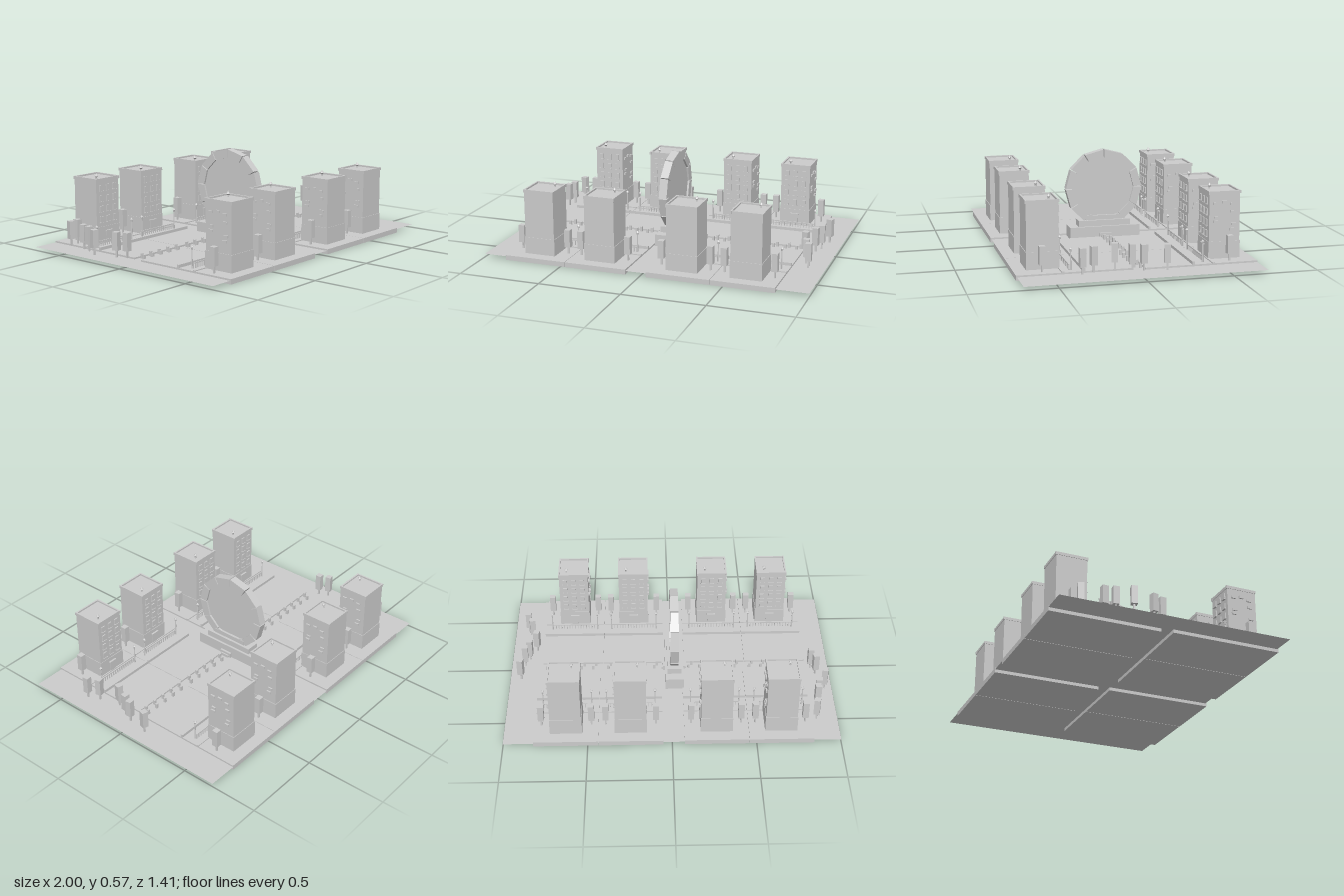
import * as THREE from 'three';

const mat = new THREE.MeshStandardMaterial({ color: 0xcccccc, flatShading: true, side: THREE.DoubleSide });

function add(parent, name, geo, x, y, z) {
  const m = new THREE.Mesh(geo, mat);
  m.name = name;
  m.position.set(x, y, z);
  parent.add(m);
  return m;
}
// box given by its centre in x/z and its bottom and top heights
function box(parent, name, x, z, w, d, y0, y1) {
  return add(parent, name, new THREE.BoxGeometry(w, y1 - y0, d), x, (y0 + y1) / 2, z);
}
function group(parent, name, x = 0, y = 0, z = 0, ry = 0) {
  const g = new THREE.Group();
  g.name = name;
  g.position.set(x, y, z);
  g.rotation.y = ry;
  parent.add(g);
  return g;
}

function tree(parent, x, y, z, ry = 0) {
  const t = group(parent, 'tree', x, y, z, ry);
  box(t, 'trunk', 0, 0, 0.01, 0.01, 0, 0.045);
  box(t, 'crown', 0, 0, 0.036, 0.036, 0.042, 0.15);
}

function lamp(parent, x, z) {
  const l = group(parent, 'lampPost', x, 0, z);
  add(l, 'pole', new THREE.CylinderGeometry(0.003, 0.005, 0.11, 6), 0, 0.085, 0);
  add(l, 'lantern', new THREE.CylinderGeometry(0.008, 0.005, 0.016, 6), 0, 0.146, 0);
  add(l, 'cap', new THREE.ConeGeometry(0.01, 0.012, 6), 0, 0.158, 0);
}

// tower block with windows on +z and box units on +x
function building(parent, z) {
  const b = group(parent, 'building', 0, 0, z);
  const h = 0.095;
  box(b, 'base', 0, 0, 0.192, 0.192, 0.03, 0.132);
  box(b, 'tower', 0, 0, 0.186, 0.186, 0.13, 0.418);
  for (const s of [-1, 1]) {
    box(b, 'parapet', s * (h - 0.004), 0, 0.01, 0.196, 0.41, 0.428);
    box(b, 'parapet', 0, s * (h - 0.004), 0.186, 0.01, 0.41, 0.428);
  }
  // windows with sills
  for (let row = 0; row < 4; row++) {
    for (const x of [-0.055, 0, 0.055]) {
      const y = 0.16 + row * 0.064;
      box(b, 'window', x, 0.095, 0.026, 0.01, y, y + 0.036);
      box(b, 'windowSill', x, 0.097, 0.032, 0.014, y - 0.004, y);
    }
  }
  box(b, 'door', 0, 0.097, 0.04, 0.006, 0.03, 0.1);
  box(b, 'doorCanopy', 0, 0.1, 0.055, 0.016, 0.1, 0.107);
  // wall units on the side
  for (const [zz, y] of [[0.055, 0.355], [0.05, 0.275], [0.055, 0.25], [0.004, 0.363],
    [-0.045, 0.35], [-0.05, 0.305], [-0.055, 0.23], [-0.045, 0.2]])
    box(b, 'wallUnit', 0.096, zz, 0.012, 0.028, y - 0.006, y + 0.008);
  // roof vents
  add(b, 'ventPipe', new THREE.CylinderGeometry(0.005, 0.005, 0.025, 8), -0.045, 0.428, 0.047);
  add(b, 'ventCap', new THREE.ConeGeometry(0.012, 0.018, 8), -0.045, 0.445, 0.047);
  add(b, 'ventCollar', new THREE.CylinderGeometry(0.012, 0.006, 0.007, 8), -0.045, 0.433, 0.047);
}

// one city plot, building at the back (-z)
function plot(parent, x, z, ry) {
  const p = group(parent, 'plot', x, 0, z, ry);
  box(p, 'slab', 0, 0, 0.382, 0.67, 0, 0.03);
  box(p, 'kerb', 0, -0.07, 0.382, 0.016, 0.03, 0.036);
  box(p, 'lowWall', 0, 0.05, 0.382, 0.014, 0.03, 0.048);
  building(p, -0.165);
  for (const s of [-1, 1]) {
    tree(p, s * 0.15, 0.03, -0.18);
    lamp(p, s * 0.147, -0.017);
  }
  // fence
  const f = group(p, 'fence', 0, 0, -0.025);
  box(f, 'rail', 0, 0, 0.29, 0.006, 0.057, 0.063);
  for (let i = 0; i <= 16; i++) box(f, 'picket', -0.144 + i * 0.018, 0, 0.005, 0.005, 0.03, 0.058);
  // bollards along the street edge
  for (let i = 0; i < 5; i++) box(p, 'bollard', -0.145 + i * 0.073, 0.352, 0.015, 0.014, 0.02, 0.05);
}

// trapezoid ring segment extruded along x
function ringSegment(a, half, r0, r1, width) {
  const pt = (r, t) => new THREE.Vector2(r * Math.sin(t), r * Math.cos(t));
  const shape = new THREE.Shape([pt(r1, a - half), pt(r1, a + half), pt(r0, a + half), pt(r0, a - half)]);
  const g = new THREE.ExtrudeGeometry(shape, { depth: width, bevelEnabled: false });
  g.translate(0, 0, -width / 2);
  g.rotateY(Math.PI / 2);
  return g;
}

function ringMonument(parent) {
  const m = group(parent, 'ringMonument', -0.025);
  box(m, 'plinthBottom', 0, 0, 0.114, 0.445, 0.02, 0.093);
  box(m, 'plinthMiddle', 0, 0, 0.086, 0.33, 0.09, 0.13);
  box(m, 'plinthTop', 0, 0, 0.056, 0.23, 0.13, 0.158);
  for (const s of [-1, 1]) {
    box(m, 'step', s * 0.06, 0, 0.02, 0.08, 0.02, 0.052);
    box(m, 'step', s * 0.068, 0, 0.02, 0.06, 0.02, 0.038);
  }
  const r = group(m, 'ring', 0, 0.33, 0);
  for (let i = 0; i < 12; i++)
    add(r, 'ringSegment', ringSegment((i + 0.5) * Math.PI / 6, Math.PI / 12 - 0.012, 0.19, 0.241, 0.05), 0, 0, 0);
  const disc = new THREE.CylinderGeometry(0.196, 0.196, 0.026, 12);
  disc.rotateX(Math.PI / 2);
  disc.rotateY(Math.PI / 2);
  add(r, 'disc', disc, 0, 0, 0);
}

export function createModel() {
  const model = new THREE.Group();
  model.name = 'cityBlock';

  // thin ground sheet
  const ground = new THREE.PlaneGeometry(2, 1.4);
  ground.rotateX(-Math.PI / 2);
  add(model, 'ground', ground, 0, 0.02, -0.005);

  // two facing rows of plots
  for (const x of [-0.65, -0.265, 0.245, 0.63]) {
    plot(model, x, -0.37, 0);
    plot(model, x - 0.016, 0.367, Math.PI);
  }

  ringMonument(model);

  // scattered trees at both ends
  const west = [[-0.87, -0.53], [-0.89, -0.4], [-0.905, -0.34], [-0.95, -0.25], [-0.91, -0.11], [-0.885, -0.05]];
  const east = [[0.93, -0.13], [0.91, 0], [0.885, 0.06], [0.845, 0.15], [0.88, 0.28], [0.91, 0.35]];
  const turns = [-0.25, 0.06, -0.1, -0.25, 0.18, 0.05];
  west.forEach(([x, z], i) => tree(model, x, 0.034, z, turns[i]));
  east.forEach(([x, z], i) => tree(model, x, 0.042, z, turns[i]));

  return model;
}
